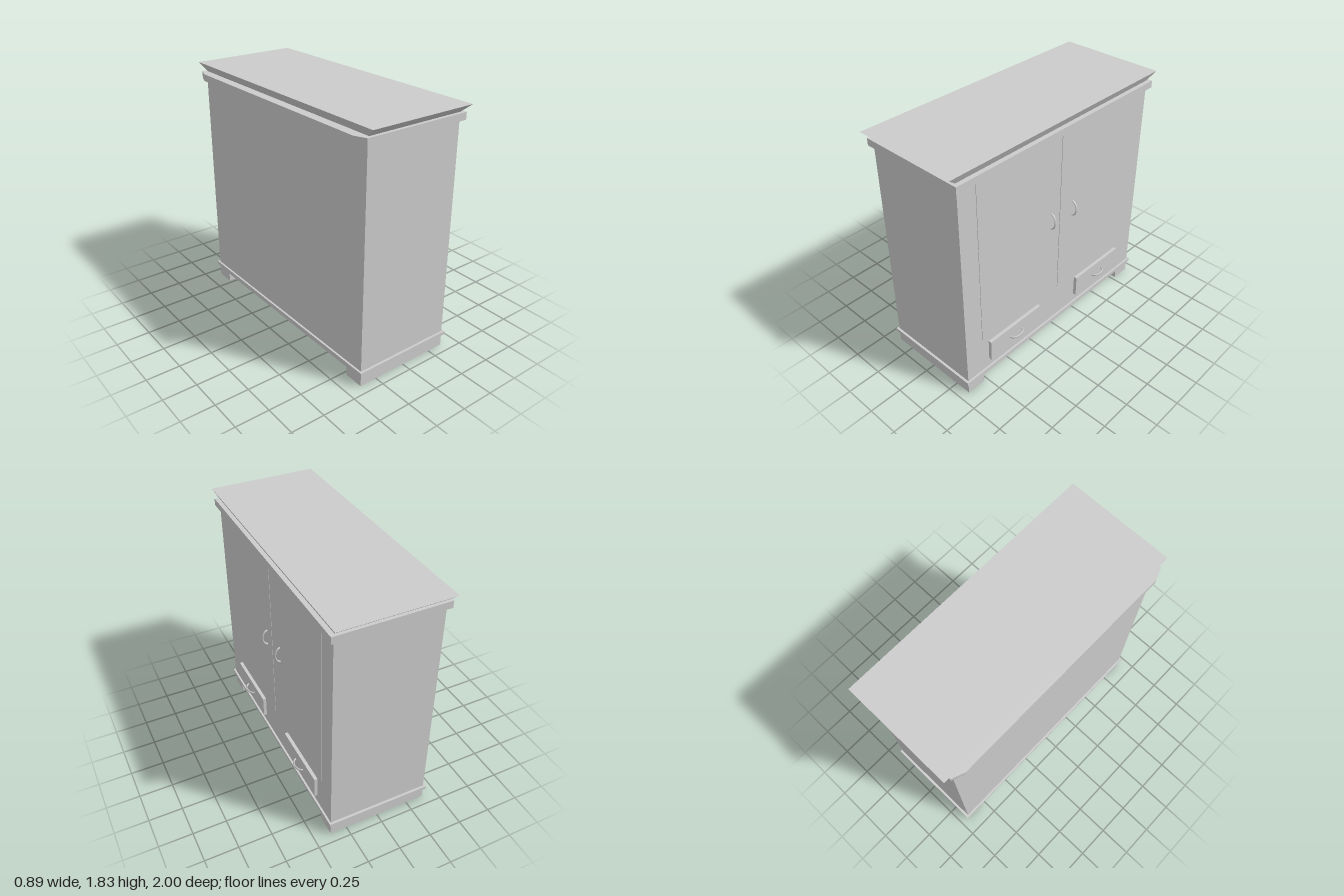
import * as THREE from 'three';

const grey = new THREE.MeshStandardMaterial({ color: 0xcccccc });

export function createModel() {
  const cabinet = new THREE.Group();
  cabinet.name = 'cabinet';

  function add(name, geometry) {
    const mesh = new THREE.Mesh(geometry, grey);
    mesh.name = name;
    cabinet.add(mesh);
    return mesh;
  }

  // Box given by its limits on each axis
  function box(name, x0, x1, y0, y1, z0, z1) {
    const mesh = add(name, new THREE.BoxGeometry(x1 - x0, y1 - y0, z1 - z0));
    mesh.position.set((x0 + x1) / 2, (y0 + y1) / 2, (z0 + z1) / 2);
    return mesh;
  }

  // Bowed pull: half an ellipse standing out along +x, ends along y
  function handle(name, x, y, z, reach) {
    const points = [];
    for (let i = 0; i <= 12; i++) {
      const a = -Math.PI / 2 + (Math.PI * i) / 12;
      points.push(new THREE.Vector3(reach * Math.cos(a), 0.06 * Math.sin(a), 0));
    }
    const curve = new THREE.CatmullRomCurve3(points);
    const mesh = add(name, new THREE.TubeGeometry(curve, 24, 0.006, 8));
    mesh.scale.z = 1.4;
    mesh.position.set(x, y, z);
    return mesh;
  }

  // Carcass and skirting strip
  box('body', -0.385, 0.375, 0.065, 1.72, -0.928, 0.928);
  box('baseTrim', -0.4, 0.39, 0.095, 0.12, -0.946, 0.946);

  // Cornice band, its rear corners cut at a slant
  const outline = new THREE.Shape();
  [[0.405, -0.955], [0.405, 0.955], [-0.41, 0.955], [-0.445, 0.865], [-0.445, -0.865], [-0.41, -0.955]]
    .forEach(([x, z], i) => (i ? outline.lineTo(x, -z) : outline.moveTo(x, -z)));
  const band = new THREE.ExtrudeGeometry(outline, { depth: 0.052, bevelEnabled: false });
  band.rotateX(-Math.PI / 2);
  add('corniceBand', band).position.y = 1.714;

  // Crown flaring out towards the top
  const crown = new THREE.BoxGeometry(0.815, 0.061, 2);
  const p = crown.attributes.position;
  for (let i = 0; i < p.count; i++) {
    if (p.getY(i) < 0) p.setXYZ(i, p.getX(i) * 0.92, p.getY(i), p.getZ(i) * 0.93);
  }
  crown.computeVertexNormals();
  add('crown', crown).position.set(-0.0035, 1.796, 0);

  // Mirrored feet, doors and drawers
  for (const side of [1, -1]) {
    const span = (a, b) => (side > 0 ? [a, b] : [-b, -a]);
    box('foot', -0.385, 0.375, 0, 0.066, ...span(0.78, 0.928));
    box('door', 0.37, 0.379, 0.4, 1.714, ...span(0.003, 0.78));
    box('drawer', 0.37, 0.4, 0.19, 0.36, ...span(0.21, 0.72));
    const pull = handle('drawerHandle', 0.397, 0.275, side * 0.468, 0.039);
    pull.rotation.x = Math.PI / 2;
  }
  handle('leftDoorHandle', 0.376, 1.055, 0.088, 0.04);
  handle('rightDoorHandle', 0.376, 1.055, -0.138, 0.04);

  return cabinet;
}
